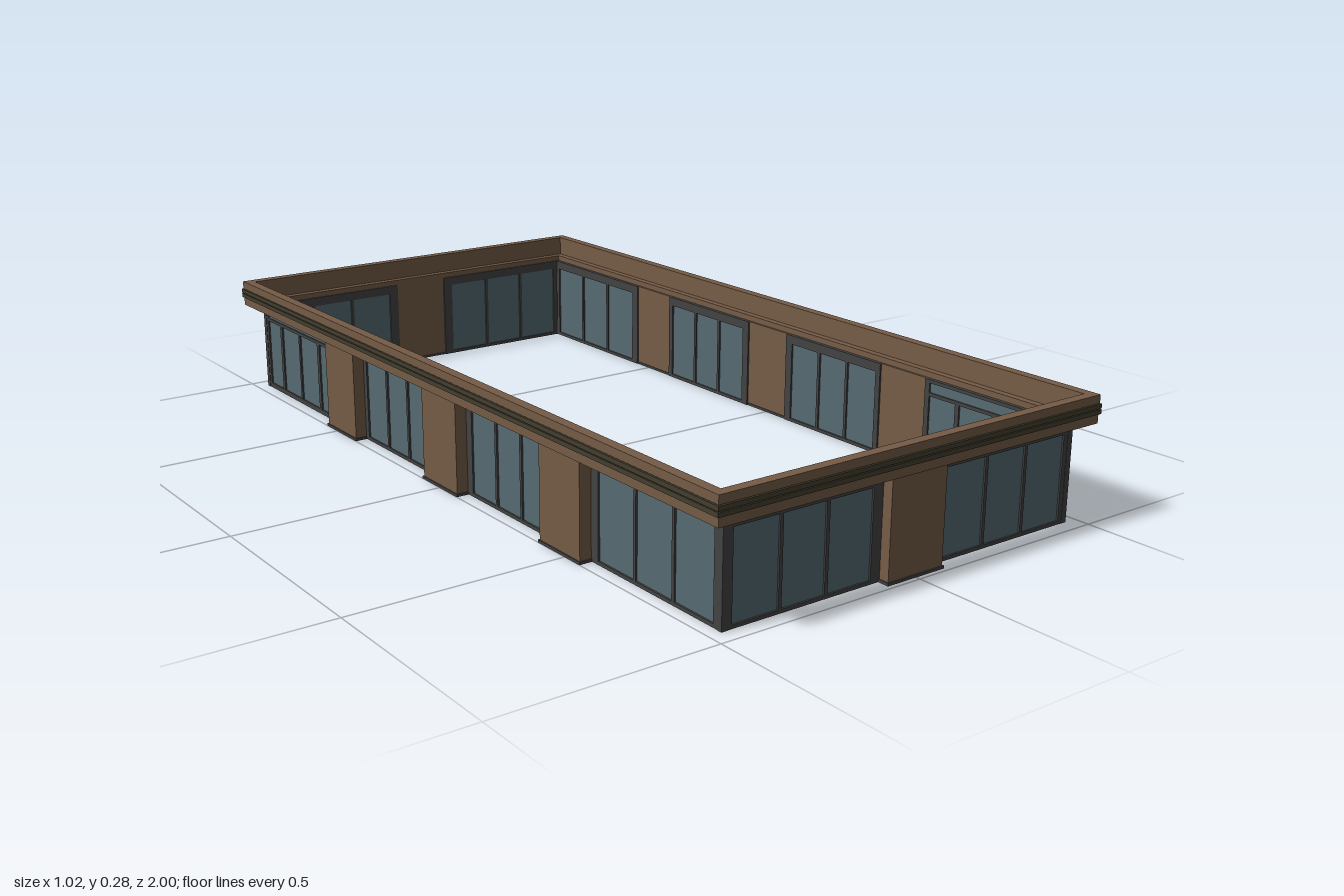
import * as THREE from 'three';

const mat = (name, color) => Object.assign(new THREE.MeshStandardMaterial({ color }), { name });

export function createModel() {
  const wood = mat('brown cladding', 0x755b46);
  const frame = mat('dark frame', 0x434343);
  const glass = mat('blue grey glass', 0x566a72);
  const olive = mat('olive band', 0x443e2f);

  const model = new THREE.Group();
  model.name = 'pavilion';

  // Box given by its minimum and maximum on each axis
  function box(parent, name, material, x0, x1, y0, y1, z0, z1) {
    const mesh = new THREE.Mesh(new THREE.BoxGeometry(x1 - x0, y1 - y0, z1 - z0), material);
    mesh.position.set((x0 + x1) / 2, (y0 + y1) / 2, (z0 + z1) / 2);
    mesh.name = name;
    parent.add(mesh);
  }

  // Rectangular ring extruded upwards; sizes are half extents
  function ring(name, material, ox, oz, ix, iz, y0, y1) {
    const rect = (path, x, z) => path.moveTo(-x, -z).lineTo(x, -z).lineTo(x, z).lineTo(-x, z).closePath();
    const shape = new THREE.Shape();
    rect(shape, ox, oz);
    const hole = new THREE.Path();
    rect(hole, ix, iz);
    shape.holes.push(hole);
    const geo = new THREE.ExtrudeGeometry(shape, { depth: y1 - y0, bevelEnabled: false });
    geo.rotateX(-Math.PI / 2).translate(0, y0, 0);
    const mesh = new THREE.Mesh(geo, material);
    mesh.name = name;
    model.add(mesh);
  }

  // Cornice: lower board with an inner ledge, ribbed olive band, top board
  ring('corniceLedge', wood, 0.508, 0.996, 0.467, 0.955, 0.222, 0.236);
  ring('corniceLower', wood, 0.508, 0.996, 0.485, 0.973, 0.236, 0.243);
  ring('corniceInnerLining', wood, 0.503, 0.991, 0.485, 0.973, 0.243, 0.266);
  for (const [y0, y1] of [[0.243, 0.253], [0.255, 0.265]])
    ring('corniceBand', olive, 0.512, 1.0, 0.5, 0.988, y0, y1);
  ring('corniceBandGroove', olive, 0.507, 0.995, 0.5, 0.988, 0.253, 0.255);
  ring('corniceTop', wood, 0.509, 0.997, 0.485, 0.973, 0.266, 0.285);

  // Glazed bay in a wall facing local +z at distance d; a and b are the side border widths
  function bay(wall, d, x0, x1, a, b) {
    const g = new THREE.Group();
    g.name = 'windowBay';
    wall.add(g);
    const back = d - 0.006, front = d + 0.006;
    const left = x0 + a, right = x1 - b;
    box(g, 'glassPane', glass, left, right, 0.008, 0.2, d - 0.002, d + 0.002);
    box(g, 'frameHead', frame, x0, x1, 0.2, 0.222, back, front);
    box(g, 'frameSill', frame, x0, x1, 0, 0.008, back, front);
    box(g, 'frameSide', frame, x0, left, 0.008, 0.2, back, front);
    box(g, 'frameSide', frame, right, x1, 0.008, 0.2, back, front);
    for (const t of [1 / 3, 2 / 3]) {
      const x = left + (right - left) * t;
      box(g, 'mullion', frame, x - 0.004, x + 0.004, 0.008, 0.2, back, front);
    }
  }

  // Entrance bay: double door between side lights, with a transom light above
  function doorBay(wall, d, x0, x1) {
    const g = new THREE.Group();
    g.name = 'entranceBay';
    wall.add(g);
    const back = d - 0.006, front = d + 0.006;
    box(g, 'glassPane', glass, x0 + 0.01, x1 - 0.014, 0.012, 0.214, d - 0.002, d + 0.002);
    box(g, 'frameHead', frame, x0, x1, 0.214, 0.222, back, front);
    box(g, 'transomBar', frame, x0, x1, 0.183, 0.191, back, front);
    box(g, 'frameSill', frame, x0, x1, 0, 0.012, back, front);
    box(g, 'frameSide', frame, x0, x0 + 0.01, 0.012, 0.214, back, front);
    box(g, 'frameSide', frame, x1 - 0.014, x1, 0.012, 0.214, back, front);
    for (const [x, w] of [[-0.863, 0.006], [-0.757, 0.004], [-0.65, 0.006]])
      box(g, 'doorStile', frame, x - w, x + w, 0.012, 0.183, back, front);
  }

  // Clad pillar with a dark base plate
  function pillar(wall, d, x0, x1, out) {
    box(wall, 'pillar', wood, x0, x1, 0.006, 0.222, d - 0.002, out);
    box(wall, 'pillarBase', frame, x0 - 0.003, x1 + 0.003, 0, 0.006, d - 0.004, out + 0.003);
  }

  // Opposite walls match each other under a half turn
  for (const turn of [0, Math.PI]) {
    const end = new THREE.Group();
    end.name = 'endWall';
    end.rotation.y = turn;
    model.add(end);
    bay(end, 0.957, -0.463, -0.074, 0.018, 0.025);
    bay(end, 0.957, 0.074, 0.463, 0.025, 0.018);
    pillar(end, 0.957, -0.074, 0.074, 0.987);

    const side = new THREE.Group();
    side.name = 'sideWall';
    side.rotation.y = turn + Math.PI / 2;
    model.add(side);
    doorBay(side, 0.463, -0.95, -0.55);
    bay(side, 0.463, -0.405, -0.073, 0.015, 0.022);
    bay(side, 0.463, 0.073, 0.405, 0.022, 0.015);
    bay(side, 0.463, 0.55, 0.95, 0.024, 0.012);
    pillar(side, 0.463, -0.55, -0.405, 0.497);
    pillar(side, 0.463, -0.073, 0.073, 0.497);
    pillar(side, 0.463, 0.405, 0.55, 0.497);
  }

  // Corner posts
  for (const sx of [-1, 1])
    for (const sz of [-1, 1]) {
      const x = sx * 0.463, z = sz * 0.957;
      box(model, 'cornerPost', frame, x - 0.007, x + 0.007, 0, 0.222, z - 0.007, z + 0.007);
    }

  return model;
}
